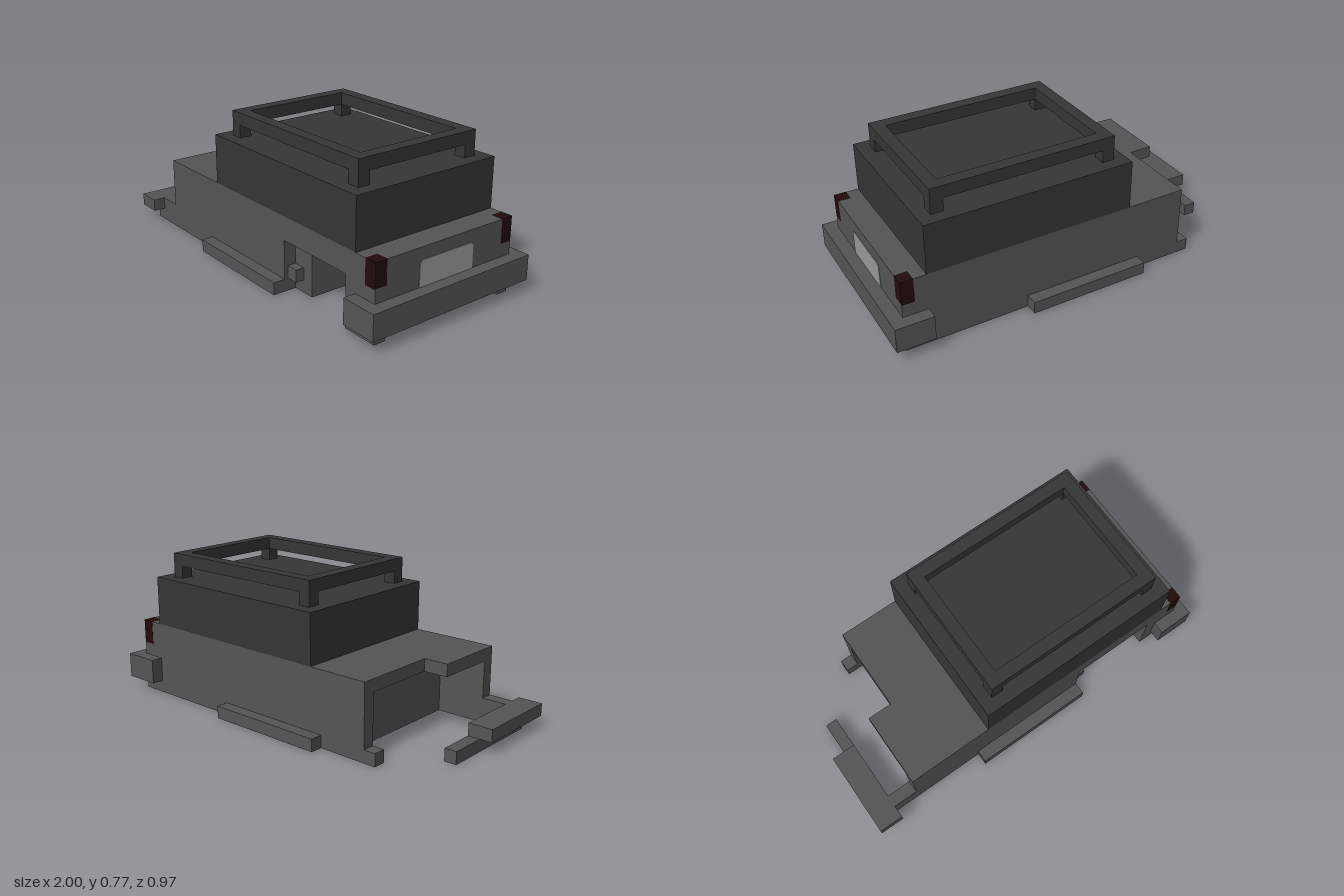
import * as THREE from 'three';

const material = (name, color) => {
  const m = new THREE.MeshStandardMaterial({ color });
  m.name = name;
  return m;
};

export function createModel() {
  const car = new THREE.Group();
  car.name = 'wreckedCar';
  const bodyGrey = material('bodyGrey', 0x555555);
  const charcoal = material('charcoal', 0x363636);
  const paleGlass = material('paleGlass', 0x9b9b9b);
  const lampRed = material('lampRed', 0x220b0b);

  // Box given by its limits on each axis
  const box = (name, mat, [x0, x1], [y0, y1], [z0, z1]) => {
    const mesh = new THREE.Mesh(new THREE.BoxGeometry(x1 - x0, y1 - y0, z1 - z0), mat);
    mesh.position.set((x0 + x1) / 2, (y0 + y1) / 2, (z0 + z1) / 2);
    mesh.name = name;
    car.add(mesh);
    return mesh;
  };
  const shapeOf = (points) => new THREE.Shape(points.map(([x, y]) => new THREE.Vector2(x, y)));
  const T = 0.065; // panel thickness

  // Left side panel with an open rear wheel arch
  const side = shapeOf([[-0.742, 0], [0.29, 0], [0.29, 0.265], [0.742, 0.265], [0.742, 0], [0.935, 0],
    [0.935, 0.265], [0.871, 0.265], [0.871, 0.387], [-0.742, 0.387]]);
  const leftPanel = new THREE.Mesh(new THREE.ExtrudeGeometry(side, { depth: T, bevelEnabled: false }), bodyGrey);
  leftPanel.position.z = 0.355;
  leftPanel.name = 'leftPanel';
  car.add(leftPanel);

  // Right side panel, broken off shorter at the nose
  box('rightPanel', bodyGrey, [-0.613, 0.871], [0, 0.387], [-0.42, -0.355]);
  box('rightPanelRear', bodyGrey, [0.871, 0.935], [0, 0.265], [-0.42, -0.355]);
  box('rightPanelStub', bodyGrey, [-0.677, -0.613], [0, T], [-0.42, -0.355]);

  // Floor block, with the empty engine bay in front and wheel space behind
  box('floorBlock', bodyGrey, [-0.484, 0.29], [0, 0.387], [-0.355, 0.355]);
  box('floorBlockRear', bodyGrey, [0.29, 0.42], [0, 0.265], [-0.355, 0.355]);
  box('rearDeck', bodyGrey, [0.29, 0.935], [0.265, 0.387], [-0.355, 0.355]);
  box('axleStub', bodyGrey, [0.29, 0.355], [T, 0.13], [0.35, 0.4]);

  // Bonnet slab over the engine bay, with its right corner torn away
  box('bonnetRight', bodyGrey, [-0.613, -0.484], [0.323, 0.387], [-0.355, 0.03]);
  box('bonnetLeft', bodyGrey, [-0.742, -0.484], [0.323, 0.387], [0.03, 0.355]);

  // Broken front bumper hanging on one bracket
  box('frontBracket', bodyGrey, [-0.871, -0.742], [0, 0.13], [0.355, 0.42]);
  box('frontLowerBar', bodyGrey, [-0.935, -0.871], [0, T], [-0.16, 0.42]);
  box('frontBumper', bodyGrey, [-1, -0.871], [T, 0.13], [0.03, 0.484]);

  // Tail
  box('rearWall', bodyGrey, [0.871, 0.935], [T, 0.265], [-0.355, 0.355]);
  box('rearCrossMember', bodyGrey, [0.742, 0.806], [T, 0.13], [-0.355, 0.355]);
  box('rearBumper', bodyGrey, [0.935, 1], [T, 0.195], [-0.484, 0.484]);
  for (const s of [-1, 1]) {
    const span = (a, b) => (s > 0 ? [a, b] : [-b, -a]);
    box('bumperEnd', bodyGrey, [0.806, 0.935], [T, 0.195], span(0.42, 0.484));
    box('sill', bodyGrey, [-0.355, 0.29], [0, T], span(0.42, 0.484));
    box('tailLamp', lampRed, [0.871, 0.935], [0.262, 0.388], span(0.355, 0.421));
  }

  // Pale plate on the tail with clipped upper corners
  const plate = shapeOf([[-0.165, 0.195], [0.165, 0.195], [0.165, 0.31], [0.15, 0.325], [-0.15, 0.325], [-0.165, 0.31]]);
  const tailPlate = new THREE.Mesh(new THREE.ExtrudeGeometry(plate, { depth: 0.004, bevelEnabled: false }), paleGlass);
  tailPlate.rotation.y = Math.PI / 2;
  tailPlate.position.x = 0.934;
  tailPlate.name = 'tailPlate';
  car.add(tailPlate);

  // Cabin
  box('cabin', charcoal, [-0.29, 0.806], [0.386, 0.645], [-0.42, 0.42]);

  // Roof rack: a square frame on four corner posts
  const frame = shapeOf([[-0.225, -0.355], [0.74, -0.355], [0.74, 0.355], [-0.225, 0.355]]);
  frame.holes.push(shapeOf([[-0.161, -0.29], [-0.161, 0.29], [0.676, 0.29], [0.676, -0.29]]));
  const rack = new THREE.Mesh(new THREE.ExtrudeGeometry(frame, { depth: 0.064, bevelEnabled: false }), charcoal);
  rack.rotation.x = -Math.PI / 2;
  rack.position.y = 0.71;
  rack.name = 'roofRack';
  car.add(rack);
  for (const x of [-0.225, 0.676])
    for (const z of [-0.355, 0.29])
      box('rackPost', charcoal, [x, x + 0.064], [0.645, 0.71], [z, z + T]);

  return car;
}
